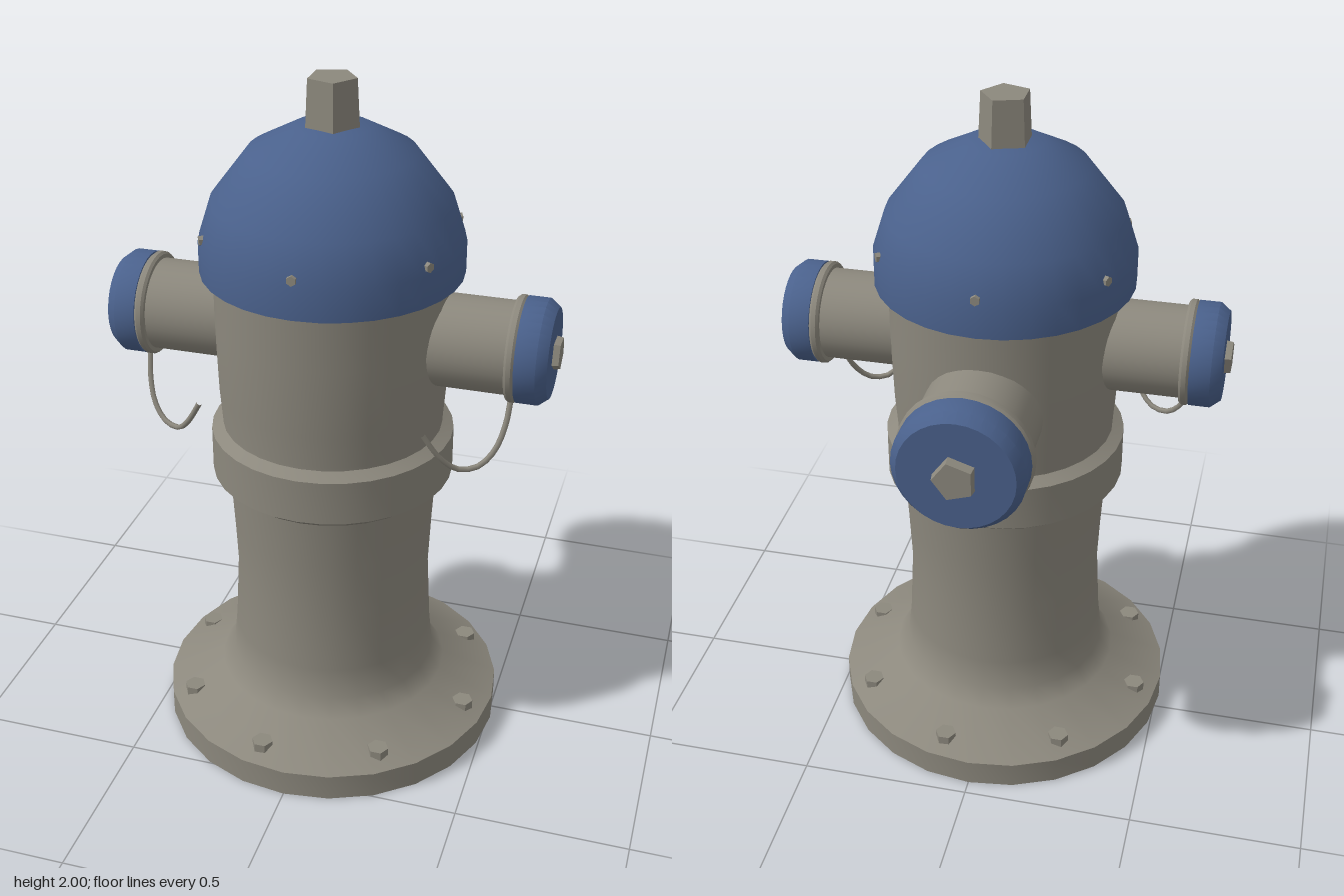
import * as THREE from 'three';
import { toCreasedNormals } from 'three/addons/utils/BufferGeometryUtils.js';

const iron = new THREE.MeshStandardMaterial({ color: 0x8c887d });
iron.name = 'grey iron';
const paint = new THREE.MeshStandardMaterial({ color: 0x4a618c });
paint.name = 'blue paint';

const AXIS_Z = 0.053; // the barrel stands slightly forward of centre

function addMesh(parent, name, geometry, material) {
  const mesh = new THREE.Mesh(geometry, material);
  mesh.name = name;
  parent.add(mesh);
  return mesh;
}

// Solid of revolution around y from [radius, height] pairs, listed bottom to top
function turned(profile, segments = 32) {
  const points = profile.map(([r, y]) => new THREE.Vector2(r, y));
  return toCreasedNormals(new THREE.LatheGeometry(points, segments), 0.68);
}

// Tapered five-sided nut with one corner towards +x
function nut(bottomRadius, topRadius, from, to) {
  const g = new THREE.CylinderGeometry(topRadius, bottomRadius, to - from, 5);
  g.rotateY(Math.PI / 2);
  g.translate(0, (from + to) / 2, 0);
  return toCreasedNormals(g, 0.5);
}

// Outlet pointing along its own +y: pipe, collar, chamfered cap and nut
function makeOutlet(name, o) {
  const outlet = new THREE.Group();
  outlet.name = name;
  addMesh(outlet, 'pipe', turned([[o.pipe, 0.2], [o.pipe, o.collarStart]]), iron);
  addMesh(outlet, 'collar', turned([
    [0, o.collarStart], [o.collar - 0.006, o.collarStart], [o.collar, o.collarStart + 0.007],
    [o.collar, o.capStart - 0.007], [o.collar - 0.006, o.capStart], [0, o.capStart],
  ]), iron);
  addMesh(outlet, 'cap', turned([
    [0, o.capStart], [o.cap, o.capStart], [o.cap, o.capEnd - 0.028],
    [o.cap - 0.022, o.capEnd], [0, o.capEnd],
  ]), paint);
  addMesh(outlet, 'capNut', nut(o.nut, o.nut * 0.92, o.capEnd - 0.005, o.nutEnd), iron);
  return outlet;
}

export function createModel() {
  const model = new THREE.Group();
  model.name = 'fireHydrant';
  const body = new THREE.Group();
  body.name = 'body';
  body.position.z = AXIS_Z;
  model.add(body);

  // Flange, flared foot and lower barrel
  addMesh(body, 'lowerBarrel', turned([
    [0, 0], [0.51, 0], [0.51, 0.08], [0.345, 0.155], [0.308, 0.205],
    [0.298, 0.3], [0.288, 0.5], [0.295, 0.66], [0.305, 0.83],
  ], 24), iron);

  // Bulging joint between the barrels
  addMesh(body, 'joint', turned([
    [0.29, 0.82], [0.318, 0.82], [0.35, 0.845], [0.35, 0.975], [0.325, 0.99], [0.31, 1.0],
  ]), iron);

  addMesh(body, 'upperBarrel', turned([
    [0.317, 0.98], [0.317, 1.005], [0.324, 1.1], [0.33, 1.3], [0.33, 1.47],
  ]), iron);

  // Domed bonnet with closed underside
  addMesh(body, 'bonnet', turned([
    [0, 1.465], [0.367, 1.465], [0.367, 1.555], [0.331, 1.667],
    [0.23, 1.8], [0.105, 1.867], [0, 1.872],
  ]), paint);
  addMesh(body, 'topNut', nut(0.076, 0.069, 1.86, 2.0), iron);

  // Eight hexagonal bolts on the flange
  const boltGeometry = new THREE.CylinderGeometry(0.031, 0.031, 0.035, 6);
  boltGeometry.rotateY(Math.PI / 6);
  const bolts = toCreasedNormals(boltGeometry, 0.5);
  for (let i = 0; i < 8; i++) {
    const a = (i + 0.25) * Math.PI / 4;
    addMesh(body, 'flangeBolt', bolts, iron)
      .position.set(0.445 * Math.cos(a), 0.105, 0.445 * Math.sin(a));
  }

  // Six small screws around the bonnet rim
  const screwGeometry = new THREE.CylinderGeometry(0.014, 0.014, 0.03, 6);
  screwGeometry.rotateX(Math.PI / 2);
  const screws = toCreasedNormals(screwGeometry, 0.5);
  for (let i = 0; i < 6; i++) {
    const a = i * Math.PI / 3;
    const screw = addMesh(body, 'bonnetScrew', screws, iron);
    screw.position.set(0.353 * Math.sin(a), 1.575, 0.353 * Math.cos(a));
    screw.rotation.y = a;
  }

  // Two side outlets, each with a hanging cap cable
  const small = {
    pipe: 0.131, collar: 0.149, cap: 0.148, nut: 0.05,
    collarStart: 0.514, capStart: 0.541, capEnd: 0.628, nutEnd: 0.646,
  };
  for (const side of [1, -1]) {
    const outlet = makeOutlet(side > 0 ? 'leftOutlet' : 'rightOutlet', small);
    outlet.position.y = 1.286;
    outlet.rotation.z = -side * Math.PI / 2;
    body.add(outlet);

    const path = new THREE.CatmullRomCurve3([
      [0.528, 1.17, 0.125], [0.522, 1.1, 0.15], [0.5, 1.03, 0.18], [0.46, 0.987, 0.205],
      [0.41, 0.985, 0.23], [0.365, 1.03, 0.26], [0.32, 1.105, 0.282],
    ].map(([x, y, z]) => new THREE.Vector3(side * x, y, z)));
    const cable = addMesh(model, 'capCable', new THREE.TubeGeometry(path, 16, 0.008, 6), iron);
    cable.name = side > 0 ? 'leftCapCable' : 'rightCapCable';
  }

  // Larger, lower outlet at the back
  const rear = makeOutlet('rearOutlet', {
    pipe: 0.167, collar: 0.19, cap: 0.184, nut: 0.064,
    collarStart: 0.469, capStart: 0.501, capEnd: 0.593, nutEnd: 0.621,
  });
  rear.position.y = 1.18;
  rear.rotation.x = -Math.PI / 2;
  body.add(rear);

  return model;
}
